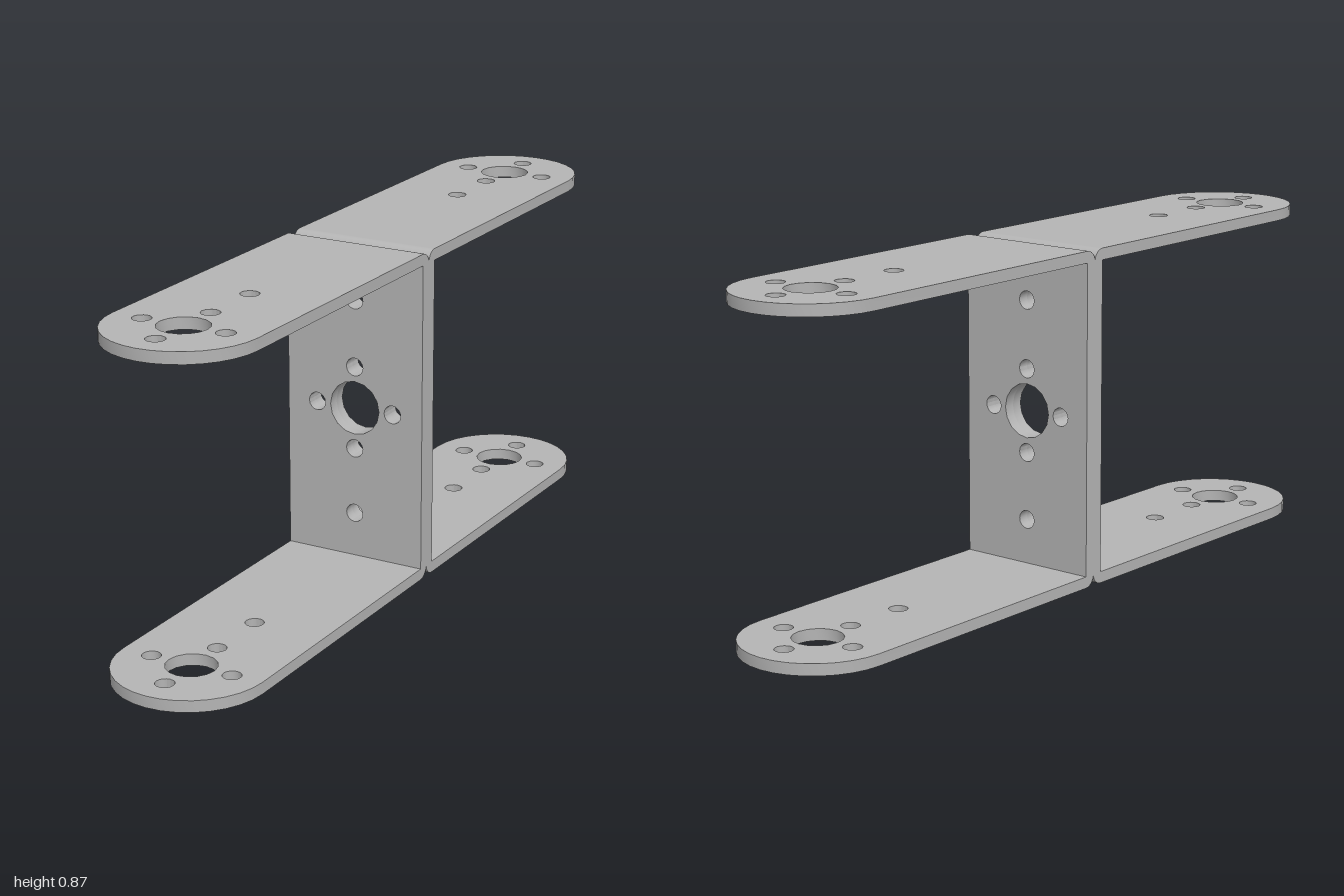
import * as THREE from 'three';
import { toCreasedNormals } from 'three/addons/utils/BufferGeometryUtils.js';

const HEIGHT = 0.87, HALF_W = 0.195, T = 0.03; // T: sheet thickness and bend radius
const BORE_Z = 0.805;                          // centre of the rounded flange end

const steel = new THREE.MeshStandardMaterial({ color: 0xb4b4b4 });
steel.name = 'grey steel';

function plate(shape, holes) {
  for (const [x, y, r] of holes) {
    shape.holes.push(new THREE.Path().absarc(x, y, r, 0, Math.PI * 2, true));
  }
  const geo = new THREE.ExtrudeGeometry(shape, { depth: T, bevelEnabled: false, curveSegments: 8 });
  return toCreasedNormals(geo, 0.6);
}

// Upright web, centred on y = 0, with bore and screw holes
function webGeometry() {
  const h = HEIGHT / 2 - T;
  const shape = new THREE.Shape([
    new THREE.Vector2(-HALF_W, -h), new THREE.Vector2(HALF_W, -h),
    new THREE.Vector2(HALF_W, h), new THREE.Vector2(-HALF_W, h),
  ]);
  const r = 0.024;
  return plate(shape, [
    [0, 0, 0.071], [0.11, 0, r], [-0.11, 0, r],
    [0, 0.11, r], [0, -0.11, r], [0, 0.288, r], [0, -0.288, r],
  ]);
}

// Flat arm with a semicircular end
function flangeGeometry() {
  const shape = new THREE.Shape();
  shape.moveTo(-HALF_W, T);
  shape.lineTo(HALF_W, T);
  shape.lineTo(HALF_W, BORE_Z);
  shape.absarc(0, BORE_Z, HALF_W, 0, Math.PI, false);
  shape.closePath();
  const r = 0.024;
  const geo = plate(shape, [
    [0, BORE_Z + 0.003, 0.064], [0.113, BORE_Z + 0.003, r], [-0.113, BORE_Z + 0.003, r],
    [0, 0.921, r], [0, 0.695, r], [0, 0.525, r],
  ]);
  return geo.rotateX(Math.PI / 2).translate(0, HEIGHT / 2, 0);
}

// Quarter-round bend joining web and flange
function bendGeometry() {
  return new THREE.CylinderGeometry(T, T, HALF_W * 2, 8, 1, false, Math.PI / 2, Math.PI / 2)
    .rotateZ(Math.PI / 2)
    .translate(0, HEIGHT / 2 - T, T);
}

export function createModel() {
  const model = new THREE.Group();
  model.name = 'doubleBracket';
  const web = webGeometry(), flange = flangeGeometry(), bend = bendGeometry();
  const add = (parent, geo, name) => {
    const mesh = new THREE.Mesh(geo, steel);
    mesh.name = name;
    parent.add(mesh);
  };

  // Two U-shaped brackets back to back
  ['front', 'back'].forEach((side, i) => {
    const bracket = new THREE.Group();
    bracket.name = side + 'Bracket';
    bracket.position.y = HEIGHT / 2;
    bracket.rotation.y = i * Math.PI;
    add(bracket, web, side + 'Web');
    ['Upper', 'Lower'].forEach((level, j) => {
      const arm = new THREE.Group();
      arm.name = side + level + 'Arm';
      arm.rotation.z = j * Math.PI;
      add(arm, flange, side + level + 'Flange');
      add(arm, bend, side + level + 'Bend');
      bracket.add(arm);
    });
    model.add(bracket);
  });
  return model;
}
